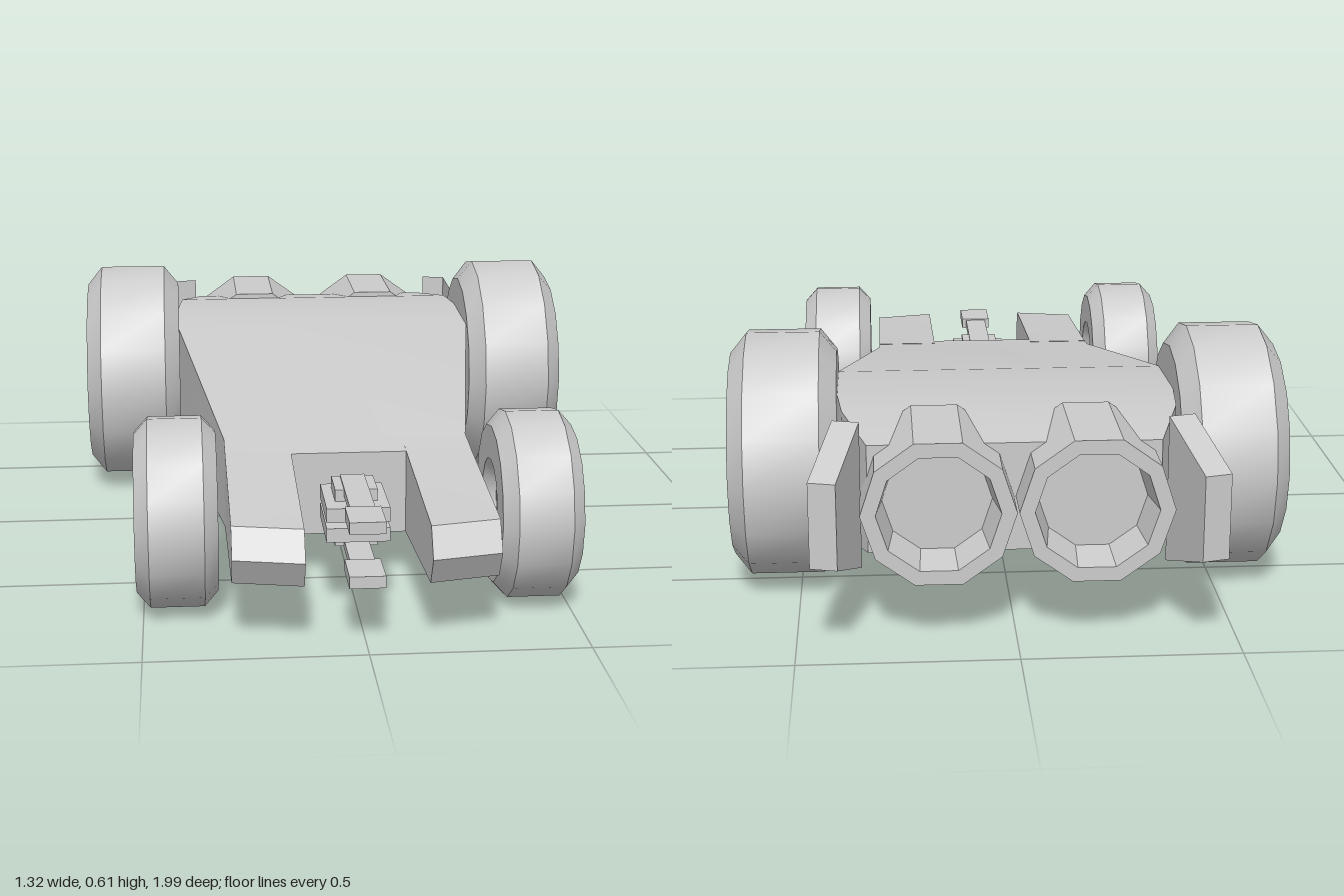
import * as THREE from 'three';
import { toCreasedNormals } from 'three/addons/utils/BufferGeometryUtils.js';

const material = new THREE.MeshStandardMaterial({ color: 0xcccccc });

function add(parent, name, geometry, x = 0, y = 0, z = 0) {
  const mesh = new THREE.Mesh(geometry, material);
  mesh.name = name;
  mesh.position.set(x, y, z);
  parent.add(mesh);
  return mesh;
}

// Cross-section of six corners, counter-clockwise from the front, with a mid-height edge.
// zEdge(x) and zMid(x) give the depth of the outer corners and of the mid edge.
function section(x0, x1, bottom, top, zEdge, zMid = zEdge) {
  const mid = (bottom + top) / 2;
  return [
    [x0, bottom, zEdge(x0)], [x1, bottom, zEdge(x1)], [x1, mid, zMid(x1)],
    [x1, top, zEdge(x1)], [x0, top, zEdge(x0)], [x0, mid, zMid(x0)],
  ];
}

// Skin sections ordered from front to back and close both ends.
function loft(sections) {
  const positions = [];
  const quad = (a, b, c, d) => positions.push(...a, ...b, ...c, ...a, ...c, ...d);
  for (let s = 0; s + 1 < sections.length; s++) {
    const f = sections[s], b = sections[s + 1];
    for (let i = 0; i < 6; i++) {
      const j = (i + 1) % 6;
      quad(f[i], b[i], b[j], f[j]);
    }
  }
  const f = sections[0], b = sections[sections.length - 1];
  quad(f[0], f[1], f[2], f[5]);
  quad(f[5], f[2], f[3], f[4]);
  quad(b[5], b[2], b[1], b[0]);
  quad(b[4], b[3], b[2], b[5]);
  const geometry = new THREE.BufferGeometry();
  geometry.setAttribute('position', new THREE.Float32BufferAttribute(positions, 3));
  return toCreasedNormals(geometry, 0.4);
}

function lathe(points, sides, start = 0) {
  const profile = points.map(([r, y]) => new THREE.Vector2(r, y));
  return toCreasedNormals(new THREE.LatheGeometry(profile, sides, start), 0.5);
}

// Bevelled tyre with a stepped hub recess on both faces, axle along x.
function wheelGeometry(radius, width, bevelX, bevelR) {
  const h = width / 2, r = radius;
  const half = [
    [r, h - bevelX], [r - bevelR, h], [r * 0.48, h], [r * 0.37, h - 0.03],
    [r * 0.35, h - 0.03], [r * 0.31, h - 0.055], [0, h - 0.055],
  ];
  const inner = half.map(([a, b]) => [a, -b]).reverse();
  return lathe([...inner, ...half], 16).rotateZ(-Math.PI / 2);
}

export function createModel() {
  const model = new THREE.Group();
  model.name = 'buggy';

  // Main body: depth, half width, bottom, top
  const stations = [
    [0.5, 0.3, 0.118, 0.323], [0.4, 0.3, 0.108, 0.335], [-0.28, 0.405, 0.15, 0.465],
    [-0.5, 0.405, 0.16, 0.476], [-0.635, 0.392, 0.163, 0.474], [-0.81, 0.335, 0.19, 0.448],
  ];
  add(model, 'body', loft(stations.map(([z, w, b, t]) => section(-w, w, b, t, () => z))));

  // Rear jet housing with a hollow nozzle
  const engine = lathe([
    [0, -0.82], [0.125, -0.82], [0.14, -0.92], [0.175, -0.92], [0.175, -0.64], [0, -0.64],
  ], 10, Math.PI / 10).rotateX(Math.PI / 2);

  // Tail fin: a slab that narrows towards the back
  const fin = new THREE.BoxGeometry(0.063, 0.35, 0.206);
  const p = fin.attributes.position;
  for (let i = 0; i < p.count; i++) if (p.getZ(i) < 0) p.setY(i, p.getY(i) * 0.57);
  fin.computeVertexNormals();

  const rearWheel = wheelGeometry(0.298, 0.255, 0.04, 0.05);
  const frontWheel = wheelGeometry(0.225, 0.19, 0.032, 0.036);

  for (const [side, label] of [[1, 'left'], [-1, 'right']]) {
    const group = new THREE.Group();
    group.name = `${label}Side`;
    model.add(group);

    // Front prong with a swept wedge tip
    const [x0, x1] = side > 0 ? [0.14, 0.3] : [-0.3, -0.14];
    const sweep = (z) => (x) => z - (Math.abs(x) - 0.14) * 0.22;
    add(group, 'frontProng', loft([
      section(x0, x1, 0.152, 0.285, sweep(0.955), sweep(0.995)),
      section(x0, x1, 0.118, 0.323, () => 0.5),
      section(x0, x1, 0.112, 0.33, () => 0.45),
    ]));

    add(group, 'engine', engine, side * 0.177, 0.32, 0);
    add(group, 'tailFin', fin, side * 0.406, 0.325, -0.892).rotation.y = -side * 0.25;
    add(group, 'rearWheel', rearWheel, side * 0.531, 0.315, -0.44);
    add(group, 'frontWheel', frontWheel, side * 0.42, 0.229, 0.63);
  }

  // Twin guns in the front slot, one above the other
  for (const [dir, label] of [[1, 'upper'], [-1, 'lower']]) {
    const gun = new THREE.Group();
    gun.name = `${label}Gun`;
    gun.position.y = 0.22;
    model.add(gun);
    const box = (name, w, h, d, y, z) =>
      add(gun, name, new THREE.BoxGeometry(w, h, d), 0, dir * y, z);
    box('gunBase', 0.148, 0.034, 0.195, 0.024, 0.648);
    box('gunMount', 0.1, 0.034, 0.11, 0.052, 0.635);
    box('gunBarrel', 0.058, 0.02, 0.28, 0.063, 0.72);
    box('gunMuzzle', 0.082, 0.028, 0.115, 0.063, 0.898);
  }

  return model;
}
